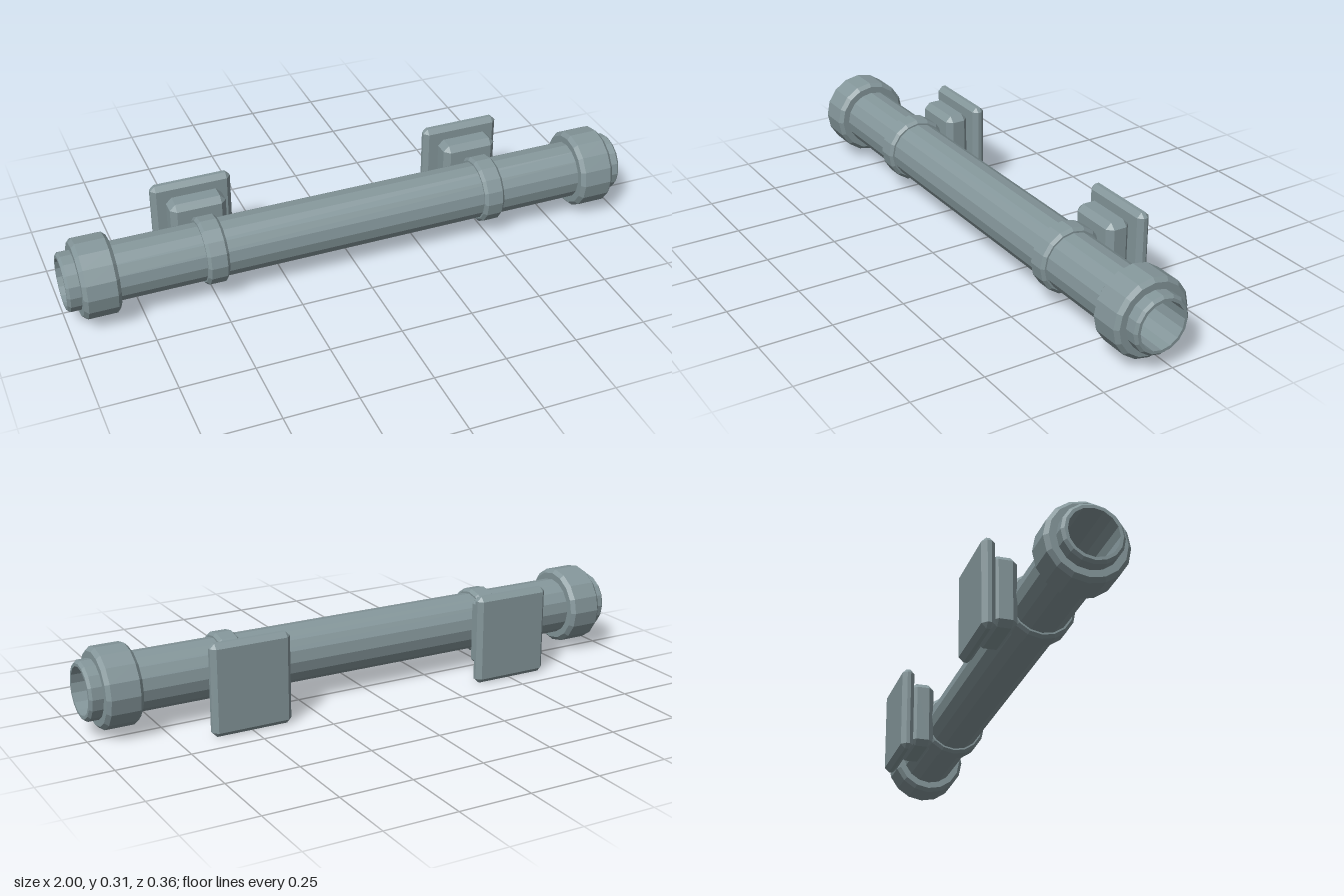
import * as THREE from 'three';
import { ConvexGeometry } from 'three/addons/geometries/ConvexGeometry.js';

const AXIS_Y = 0.157, AXIS_Z = 0.045;

// Chamfered hollow ring around the x axis; hollow and closed at both ends
function ringGeometry(outer, inner, length, bevel) {
  const h = length / 2;
  const profile = [
    [inner, -h], [outer - bevel, -h], [outer, -h + bevel],
    [outer, h - bevel], [outer - bevel, h], [inner, h], [inner, -h],
  ].map(([r, y]) => new THREE.Vector2(r, y));
  return new THREE.LatheGeometry(profile, 16).rotateZ(-Math.PI / 2);
}

// Box with every edge and corner chamfered
function bevelBoxGeometry(w, h, d, bevel) {
  const points = [];
  const half = [w / 2, h / 2, d / 2];
  for (const sx of [-1, 1]) for (const sy of [-1, 1]) for (const sz of [-1, 1]) {
    const s = [sx, sy, sz];
    for (let full = 0; full < 3; full++) {
      points.push(new THREE.Vector3(...half.map((v, i) => s[i] * (i === full ? v : v - bevel))));
    }
  }
  return new ConvexGeometry(points);
}

export function createModel() {
  const model = new THREE.Group();
  model.name = 'wallPipe';
  const metal = new THREE.MeshStandardMaterial({ color: 0x84969a });
  metal.name = 'greyMetal';
  metal.flatShading = true;

  const add = (name, geometry, x, y, z) => {
    const mesh = new THREE.Mesh(geometry, metal);
    mesh.name = name;
    mesh.position.set(x, y, z);
    model.add(mesh);
  };

  // Main tube, open right through
  add('pipe', ringGeometry(0.1, 0.081, 2, 0.009), 0, AXIS_Y, AXIS_Z);

  for (const [side, s] of [['left', 1], ['right', -1]]) {
    // End collar and clamp ring
    add(side + 'EndCollar', ringGeometry(0.136, 0.095, 0.124, 0.013), s * 0.893, AXIS_Y, AXIS_Z);
    add(side + 'ClampRing', ringGeometry(0.116, 0.095, 0.074, 0.01), s * 0.5, AXIS_Y, AXIS_Z);
    // Bracket block and wall plate behind the pipe
    add(side + 'BracketBlock', bevelBoxGeometry(0.195, 0.246, 0.086, 0.02), s * 0.5, AXIS_Y + 0.001, -0.092);
    add(side + 'WallPlate', bevelBoxGeometry(0.28, 0.314, 0.045, 0.016), s * 0.5, AXIS_Y, -0.157);
  }
  return model;
}
